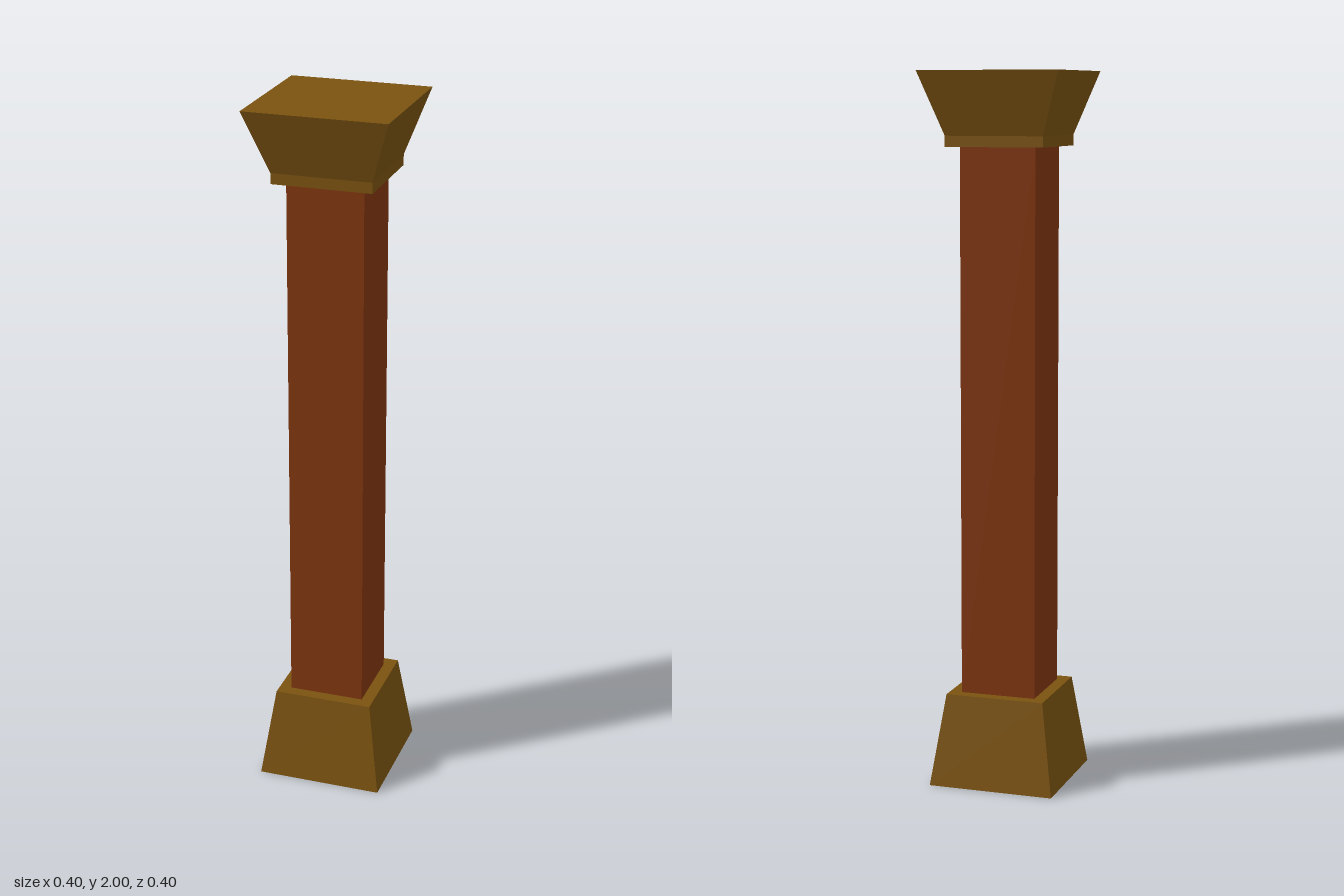
import * as THREE from 'three';

export function createModel() {
  const group = new THREE.Group();
  group.name = 'column';
  const gold = new THREE.MeshStandardMaterial({ color: 0x7a5210, flatShading: true });
  const red = new THREE.MeshStandardMaterial({ color: 0x80350f, flatShading: true });

  // Square block from y0 to y1, with half-widths at its bottom and top
  function block(name, material, y0, y1, bottom, top) {
    const geometry = new THREE.CylinderGeometry(
      top * Math.SQRT2, bottom * Math.SQRT2, y1 - y0, 4, 1, false, Math.PI / 4);
    const mesh = new THREE.Mesh(geometry, material);
    mesh.name = name;
    mesh.position.y = (y0 + y1) / 2;
    group.add(mesh);
  }

  block('base', gold, 0, 0.26, 0.18, 0.142);
  block('shaft', red, 0.26, 1.795, 0.108, 0.108);
  block('capitalCollar', gold, 1.795, 1.825, 0.14, 0.14);
  block('capital', gold, 1.825, 2, 0.14, 0.2);

  return group;
}
